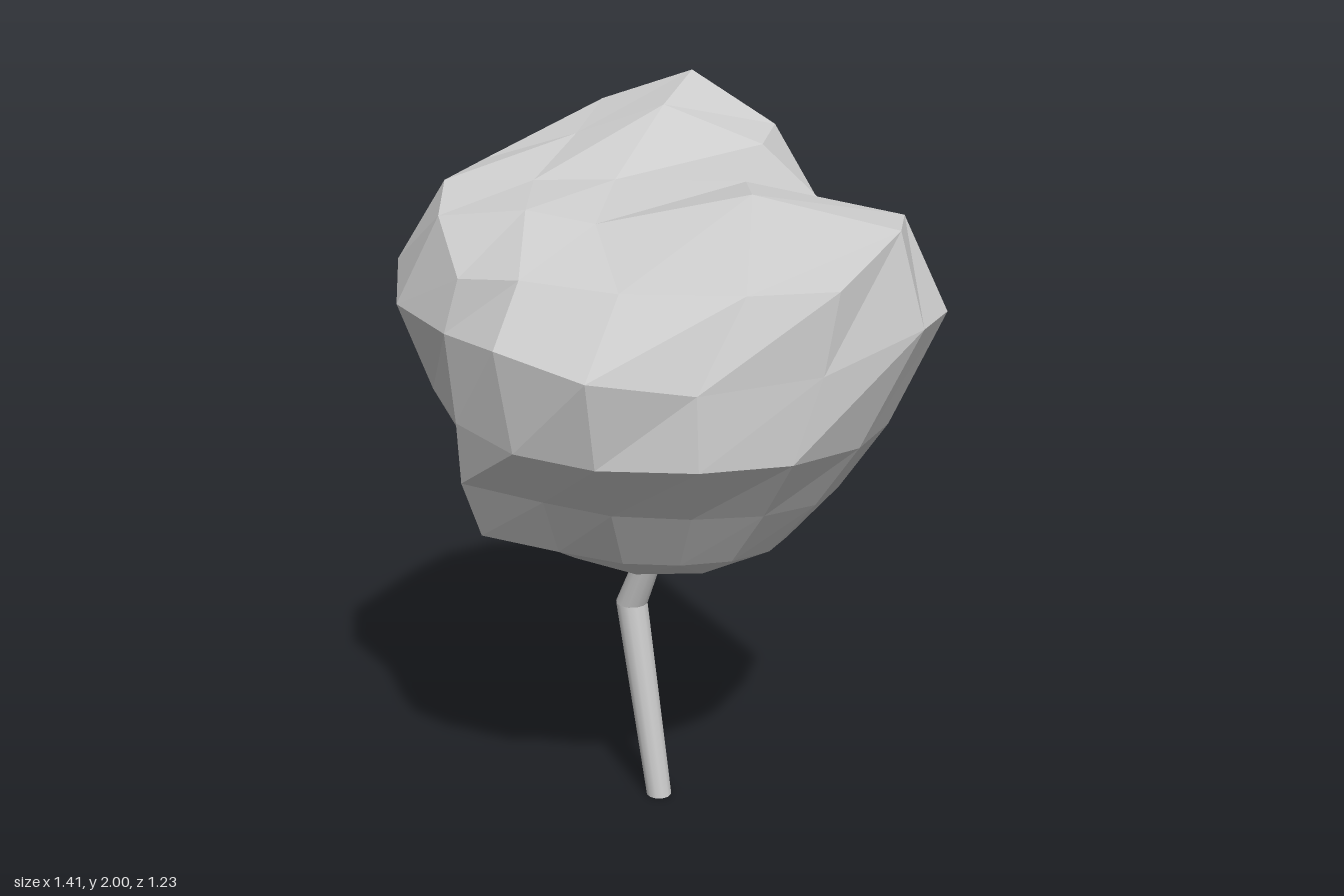
import * as THREE from 'three';

const material = new THREE.MeshStandardMaterial({ color: 0xcccccc });
const faceted = new THREE.MeshStandardMaterial({ color: 0xcccccc, flatShading: true });

// Upper surface of the crown: 5 x 5 points (x, y, z), rows from back to front
const TOP = [
  [[-.46, 1.80, -.34], [-.27, 1.92, -.40], [-.03, 2.00, -.42], [.20, 1.87, -.39], [.35, 1.65, -.33]],
  [[-.53, 1.79, -.16], [-.29, 1.86, -.20], [-.06, 1.94, -.21], [.20, 1.85, -.20], [.44, 1.65, -.155]],
  [[-.575, 1.77, .03], [-.34, 1.78, .03], [-.13, 1.79, .03], [.20, 1.80, .035], [.59, 1.74, .05]],
  [[-.53, 1.72, .215], [-.30, 1.75, .24], [-.12, 1.73, .265], [.25, 1.81, .23], [.60, 1.74, .225]],
  [[-.44, 1.60, .35], [-.27, 1.62, .41], [-.02, 1.61, .445], [.27, 1.61, .40], [.48, 1.62, .35]],
];

// Widest ring of the crown, from the front-left corner of the plan, anticlockwise from above
const RIM = [
  [-.47, 1.47, .38], [-.30, 1.48, .53], [-.06, 1.44, .61], [.18, 1.40, .52],
  [.45, 1.42, .37], [.665, 1.51, .235], [.705, 1.51, .06], [.54, 1.44, -.165],
  [.38, 1.48, -.35], [.20, 1.70, -.535], [-.03, 1.77, -.615], [-.29, 1.70, -.525],
  [-.48, 1.62, -.345], [-.65, 1.58, -.18], [-.71, 1.56, .03], [-.65, 1.49, .215],
];

// Lower rings: reach and height on the -x, +x, front and back sides
const LOWER = [
  { reach: [-.60, .57, .57, -.54], y: [1.29, 1.20, 1.22, 1.38] },
  { reach: [-.52, .45, .42, -.55], y: [1.11, 1.02, 1.05, 1.15] },
  { reach: [-.50, .32, .31, -.46], y: [.93, .87, .88, .92] },
];

// Ring of 16 points blended from four quarter ellipses
function ellipseRing({ reach, y }, level) {
  const cx = -.05, cz = .02;
  return Array.from({ length: 16 }, (_, j) => {
    const a = (j - 2) * Math.PI / 8, s = Math.sin(a), c = Math.cos(a);
    const ix = s < 0 ? 0 : 1, iz = c > 0 ? 2 : 3;
    const bulge = j === 0 && level > 0 ? 1.2 : 1; // knob at the low corner
    return [
      cx + Math.abs(s) * (reach[ix] - cx) * bulge,
      y[ix] * s * s + y[iz] * c * c,
      cz + Math.abs(c) * (reach[iz] - cz) * bulge,
    ];
  });
}

// Border cells of a 5 x 5 grid as [row, column], in the same order as the rings
const BORDER = Array.from({ length: 16 }, (_, j) => {
  const k = j % 4;
  return [[4, k], [4 - k, 4], [0, 4 - k], [k, 0]][Math.floor(j / 4)];
});

function crownGeometry() {
  const rings = [BORDER.map(([r, c]) => TOP[r][c]), RIM, ...LOWER.map(ellipseRing)];
  const last = rings[rings.length - 1];

  // Shallow underside: inner 3 x 3 points inside the last ring
  const bottom = Array.from({ length: 5 }, (_, r) => Array.from({ length: 5 }, (_, c) => {
    const u = c - 2, v = r - 2, k = Math.abs(u * v) ? .85 : 1;
    return [-.05 + u * k * .2, .78 + .012 * (u * u + v * v) - .006 * u, -.03 + v * k * .2];
  }));
  BORDER.forEach(([r, c], j) => { bottom[r][c] = last[j]; });

  const positions = [];
  const quad = (a, b, c, d) => positions.push(...a, ...b, ...c, ...a, ...c, ...d);
  for (let k = 0; k < rings.length - 1; k++) {
    for (let j = 0; j < 16; j++) {
      const n = (j + 1) % 16;
      quad(rings[k + 1][j], rings[k + 1][n], rings[k][n], rings[k][j]);
    }
  }
  for (let r = 0; r < 4; r++) {
    for (let c = 0; c < 4; c++) {
      quad(TOP[r + 1][c], TOP[r + 1][c + 1], TOP[r][c + 1], TOP[r][c]);
      quad(bottom[r][c], bottom[r][c + 1], bottom[r + 1][c + 1], bottom[r + 1][c]);
    }
  }
  const geometry = new THREE.BufferGeometry();
  geometry.setAttribute('position', new THREE.Float32BufferAttribute(positions, 3));
  geometry.computeVertexNormals();
  return geometry;
}

// Slanted trunk piece with level ends, so that pieces meet cleanly
function trunkPiece(name, from, to, r0, r1) {
  const h = to[1] - from[1];
  const geometry = new THREE.CylinderGeometry(r1, r0, h, 12);
  geometry.applyMatrix4(new THREE.Matrix4().set(
    1, (to[0] - from[0]) / h, 0, (from[0] + to[0]) / 2,
    0, 1, 0, (from[1] + to[1]) / 2,
    0, (to[2] - from[2]) / h, 1, (from[2] + to[2]) / 2,
    0, 0, 0, 1,
  ));
  const mesh = new THREE.Mesh(geometry, material);
  mesh.name = name;
  return mesh;
}

export function createModel() {
  const model = new THREE.Group();
  model.name = 'tree';

  const crown = new THREE.Mesh(crownGeometry(), faceted);
  crown.name = 'crown';

  // Trunk with one bend
  const trunk = new THREE.Group();
  trunk.name = 'trunk';
  const foot = [-.05, 0, -.095], bend = [-.14, .565, -.153], tip = [-.035, .84, -.085];
  trunk.add(
    trunkPiece('lowerTrunk', foot, bend, .036, .045),
    trunkPiece('upperTrunk', bend, tip, .045, .034),
  );

  model.add(crown, trunk);
  return model;
}
